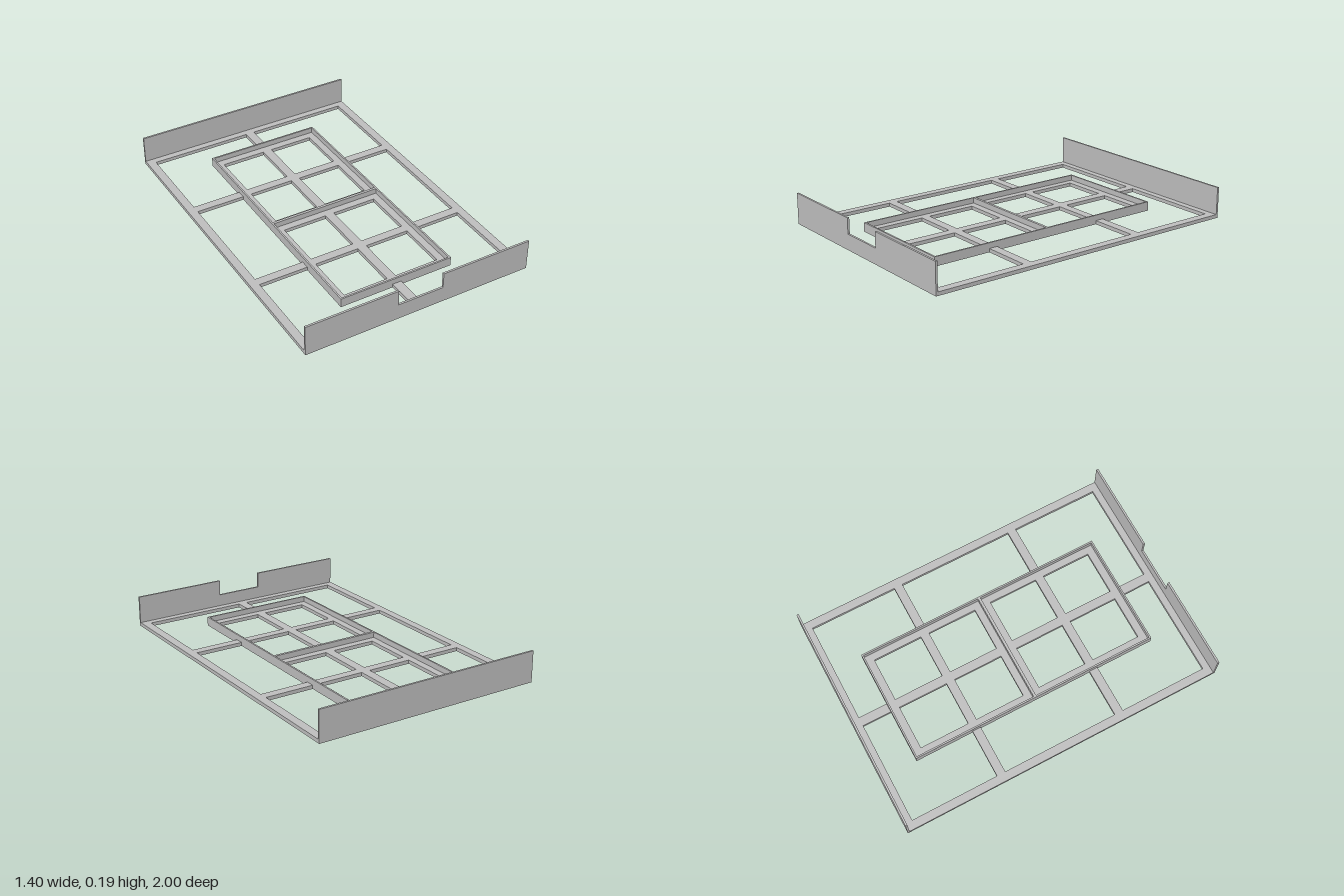
import * as THREE from 'three';

export function createModel() {
  const group = new THREE.Group();
  const grey = new THREE.MeshStandardMaterial({ color: 0xc0c0c0 });
  grey.name = 'light grey';

  const add = (name, geometry) => {
    const mesh = new THREE.Mesh(geometry, grey);
    mesh.name = name;
    group.add(mesh);
  };
  const box = (name, x0, x1, y0, y1, z0, z1) => add(name,
    new THREE.BoxGeometry(x1 - x0, y1 - y0, z1 - z0)
      .translate((x0 + x1) / 2, (y0 + y1) / 2, (z0 + z1) / 2));
  const points = (list) => list.map(([x, y]) => new THREE.Vector2(x, y));
  const rect = (x0, x1, z0, z1) => [[x0, z0], [x1, z0], [x1, z1], [x0, z1]];

  const W = 0.7, L = 1, T = 0.022; // half width, half length, base thickness
  const wall = 0.012, wallTop = 0.187;
  const trayX = 0.353, trayZ = 0.77, rim = 0.055, rimT = 0.01;
  const bar = 0.0275;

  // Flat lattice base, with openings mirrored to all four quarters
  const base = new THREE.Shape(points(rect(-W, W, -L, L)));
  const cut = (list) => base.holes.push(new THREE.Path(points(list)));
  for (const sx of [-1, 1]) {
    for (const sz of [-1, 1]) {
      const mirror = (list) => list.map(([x, z]) => [x * sx, z * sz]);
      cut(mirror([[bar, trayZ], [trayX, trayZ], [trayX, 0.41],
        [0.65, 0.41], [0.65, 0.947], [bar, 0.947]]));
      cut(mirror(rect(bar, 0.3, 0.052, 0.357)));
      cut(mirror(rect(bar, 0.3, 0.41, 0.714)));
    }
    cut(rect(trayX, 0.65, -0.357, 0.357).map(([x, z]) => [x * sx, z]));
  }
  add('latticeBase', new THREE.ExtrudeGeometry(base, { depth: T, bevelEnabled: false })
    .rotateX(Math.PI / 2).translate(0, T, 0));

  // Rims around the two inner trays
  for (const s of [-1, 1]) {
    const side = s < 0 ? 'right' : 'left';
    const edge = s * (trayX - rimT / 2);
    box(side + 'TrayRim', edge - rimT / 2, edge + rimT / 2, 0, rim, -trayZ, trayZ);
    const end = s * (trayZ - rimT / 2);
    box(s < 0 ? 'backTrayRim' : 'frontTrayRim',
      -trayX + rimT, trayX - rimT, 0, rim, end - rimT / 2, end + rimT / 2);
  }
  box('trayDivider', -trayX + rimT, trayX - rimT, 0, rim, -0.008, 0.008);

  // Plain back wall
  box('backWall', -W, W, 0, wallTop, -L, -L + wall);

  // Front wall with a notch in its top edge
  const front = new THREE.Shape(points([[-W, 0], [W, 0], [W, wallTop], [0.14, wallTop],
    [0.14, 0.094], [-0.14, 0.094], [-0.14, wallTop], [-W, wallTop]]));
  add('frontWall', new THREE.ExtrudeGeometry(front, { depth: wall, bevelEnabled: false })
    .translate(0, 0, L - wall));

  return group;
}
